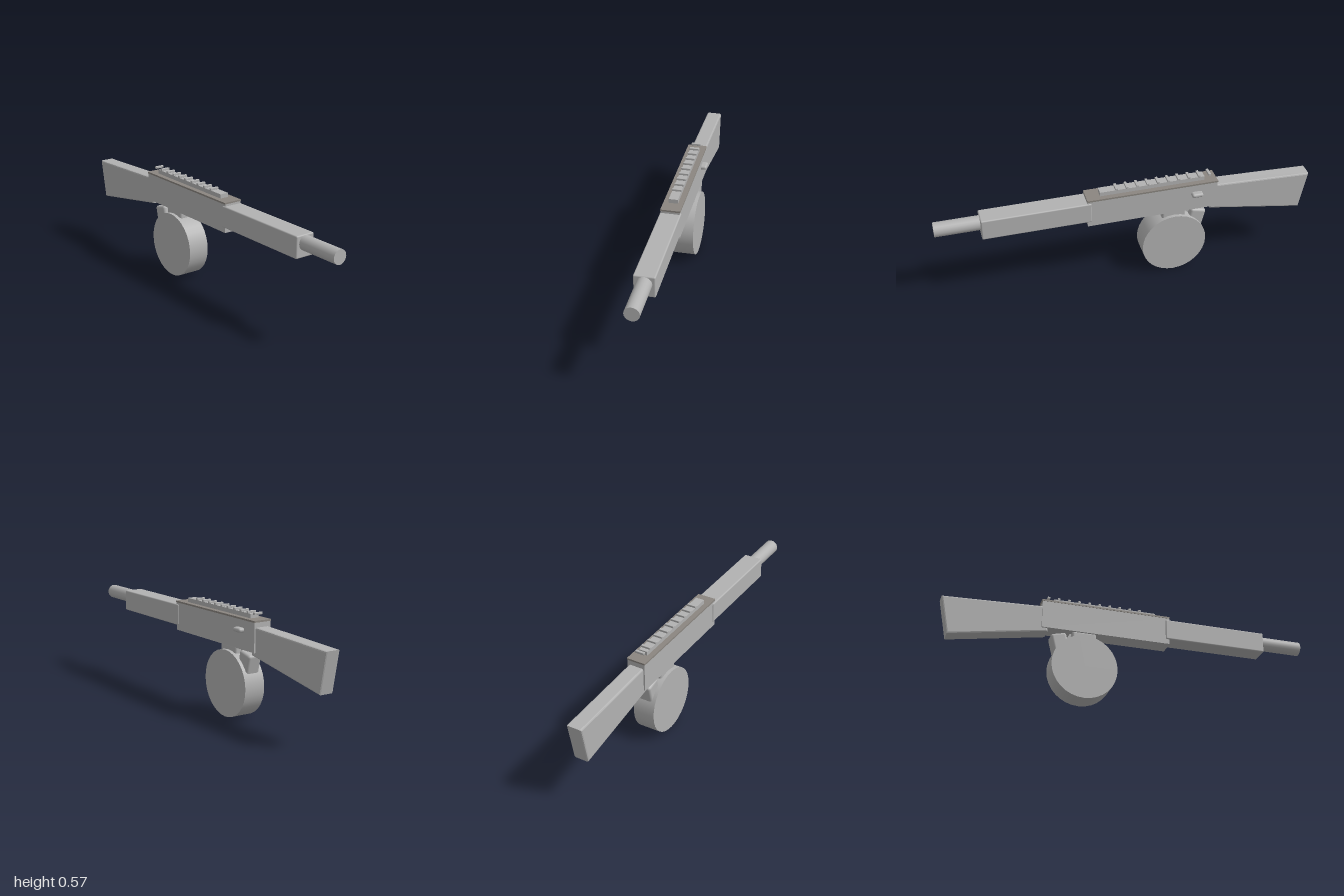
import * as THREE from 'three';
import { RoundedBoxGeometry } from 'three/addons/geometries/RoundedBoxGeometry.js';

export function createModel() {
  const model = new THREE.Group();
  model.name = 'drumFedRifle';
  const grey = new THREE.MeshStandardMaterial({ name: 'light grey', color: 0xb2b2b2 });
  const taupe = new THREE.MeshStandardMaterial({ name: 'taupe grey', color: 0x8b8680 });
  const CX = -0.01; // centre line of the body

  function add(name, geometry, material, x, y, z) {
    const mesh = new THREE.Mesh(geometry, material);
    mesh.name = name;
    mesh.position.set(x, y, z);
    model.add(mesh);
    return mesh;
  }
  // Box given by width and its y and z limits, optionally with rounded edges
  function block(name, w, y0, y1, z0, z1, radius = 0, material = grey) {
    const h = y1 - y0, d = z1 - z0;
    const geometry = radius
      ? new RoundedBoxGeometry(w, h, d, 3, radius)
      : new THREE.BoxGeometry(w, h, d);
    return add(name, geometry, material, CX, (y0 + y1) / 2, (z0 + z1) / 2);
  }

  // Barrel and handguard
  const barrel = new THREE.CylinderGeometry(0.038, 0.038, 0.3, 20).rotateX(Math.PI / 2);
  add('barrel', barrel, grey, CX, 0.474, 0.85);
  block('handguard', 0.107, 0.401, 0.515, 0.2, 0.768, 0.007);

  // Receiver with its top cover
  block('receiver', 0.097, 0.374, 0.526, -0.475, 0.222);
  block('topCover', 0.102, 0.525, 0.534, -0.477, 0.222, 0, taupe);

  // Sight rail with cross ribs
  block('rail', 0.047, 0.533, 0.556, -0.41, 0.15);
  for (let i = 0; i < 10; i++) {
    const z = 0.062 - i * 0.0555;
    block('railRib', 0.05, 0.555, 0.567, z - 0.007, z + 0.007, 0.002);
  }

  // Bolt handle on the left side
  add('boltHandle', new RoundedBoxGeometry(0.05, 0.023, 0.06, 4, 0.011), grey, 0.043, 0.474, -0.362);

  // Drum magazine and its neck
  const drum = new THREE.CylinderGeometry(0.175, 0.175, 0.117, 32).rotateZ(Math.PI / 2);
  add('drumMagazine', drum, grey, CX, 0.176, -0.245);
  block('magazineNeck', 0.08, 0.3, 0.38, -0.31, -0.18, 0.012);

  // Slanted grip behind the drum
  const grip = add('grip', new RoundedBoxGeometry(0.08, 0.15, 0.085, 3, 0.014), grey, CX, 0.284, -0.366);
  grip.rotation.x = -0.24;

  // Thin trigger
  const trigger = add('trigger', new THREE.BoxGeometry(0.016, 0.06, 0.012), grey, CX, 0.352, -0.322);
  trigger.rotation.x = 0.5;

  // Stock, a bevelled side profile (shape x runs towards the back)
  const bevel = 0.008;
  const profile = new THREE.Shape([
    [0.45, 0.363], [0.949, 0.278], [0.986, 0.472], [0.45, 0.493],
  ].map(([x, y]) => new THREE.Vector2(x, y)));
  const stock = new THREE.ExtrudeGeometry(profile, {
    depth: 0.082 - 2 * bevel, bevelEnabled: true, bevelSize: bevel,
    bevelThickness: bevel, bevelSegments: 2,
  });
  stock.translate(0, 0, -0.041 + bevel).rotateY(Math.PI / 2);
  add('stock', stock, grey, CX, 0, 0);

  return model;
}
